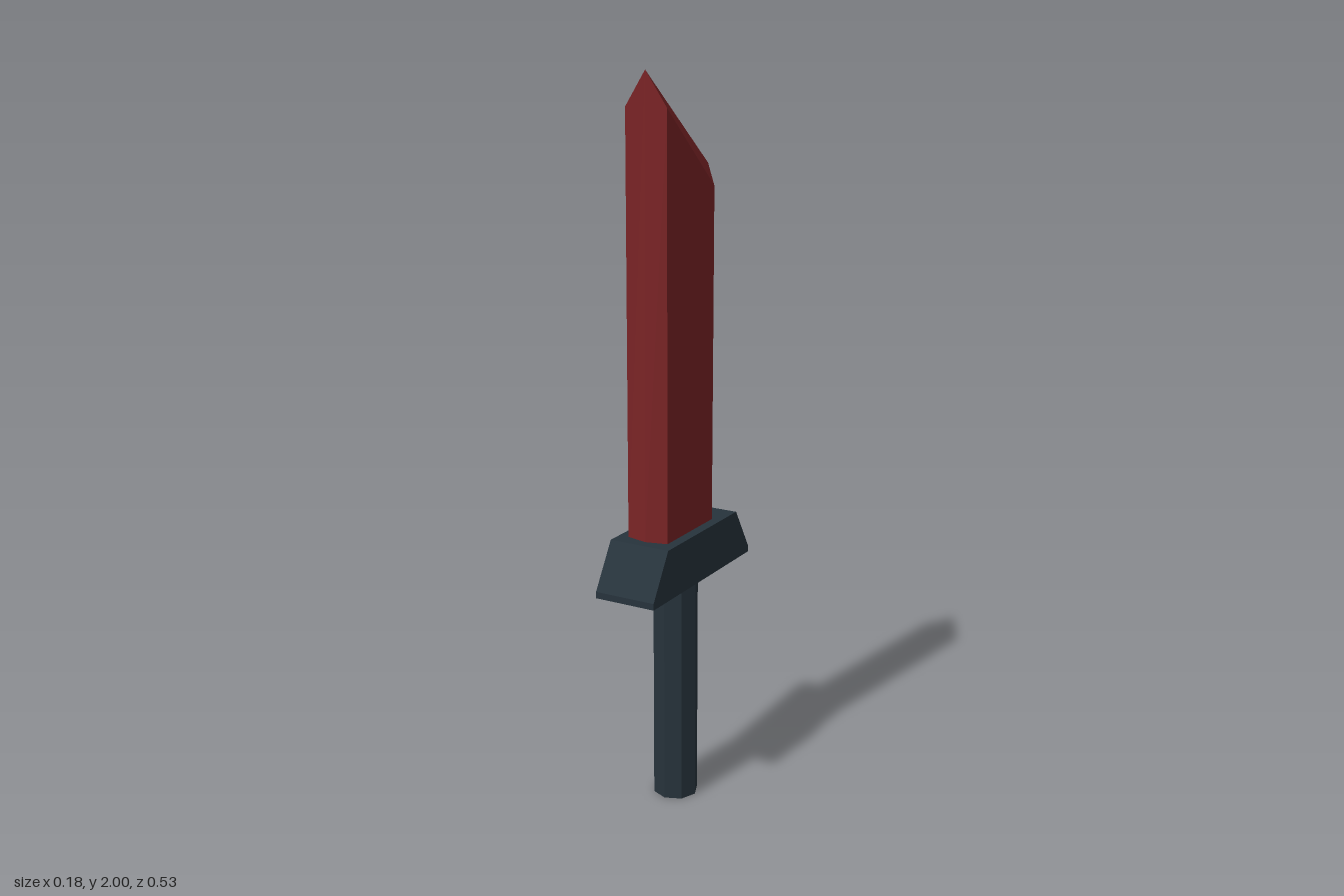
import * as THREE from 'three';

const red = new THREE.MeshStandardMaterial({ color: 0x7a2426 });
red.name = 'dark red';
const slate = new THREE.MeshStandardMaterial({ color: 0x27333c });
slate.name = 'dark slate';

// Closed solid between two matching rings, listed anticlockwise from above.
function loft(bottom, top) {
  const n = bottom.length, pos = [];
  const tri = (a, b, c) => pos.push(...a, ...b, ...c);
  for (let i = 0; i < n; i++) {
    const j = (i + 1) % n;
    tri(bottom[i], bottom[j], top[j]);
    tri(bottom[i], top[j], top[i]);
  }
  // Caps split along the centre ridge, mirrored left and right
  for (const [ring, up] of [[top, true], [bottom, false]]) {
    const [f, l, lb, b, rb, r] = ring;
    for (const [p, q, s] of [[f, l, lb], [f, lb, b], [f, b, rb], [f, rb, r]]) {
      up ? tri(p, q, s) : tri(p, s, q);
    }
  }
  const geometry = new THREE.BufferGeometry();
  geometry.setAttribute('position', new THREE.Float32BufferAttribute(pos, 3));
  geometry.computeVertexNormals();
  return geometry;
}

// Ring of six: spine, left shoulders, cutting edge, right shoulders; each is [y, z]
function bladeRing(spine, front, back, edge) {
  const w = 0.06;
  return [[0, ...spine], [w, ...front], [w, ...back], [0, ...edge], [-w, ...back], [-w, ...front]];
}

export function createModel() {
  const group = new THREE.Group();
  const add = (name, geometry, material) => {
    const mesh = new THREE.Mesh(geometry, material);
    mesh.name = name;
    group.add(mesh);
    return mesh;
  };

  // Blade with a slanted, bevelled tip
  add('blade', loft(
    bladeRing([0.78, 0.159], [0.78, 0.144], [0.78, -0.098], [0.78, -0.162]),
    bladeRing([2, 0.146], [1.91, 0.143], [1.7, -0.1], [1.75, -0.174])
  ), red);

  // Cross guard: trapezoid profile extruded across x
  const profile = new THREE.Shape([
    [-0.263, 0.65], [0.263, 0.65], [0.263, 0.668], [0.188, 0.79], [-0.188, 0.79], [-0.263, 0.668],
  ].map(([z, y]) => new THREE.Vector2(z, y)));
  const guard = new THREE.ExtrudeGeometry(profile, { depth: 0.176, bevelEnabled: false });
  guard.translate(0, 0, -0.088).rotateY(Math.PI / 2);
  add('guard', guard, slate);

  // Octagonal grip
  const grip = new THREE.CylinderGeometry(0.063, 0.063, 0.66, 8).toNonIndexed();
  grip.computeVertexNormals();
  add('grip', grip, slate).position.set(0.003, 0.33, 0.002);

  return group;
}
